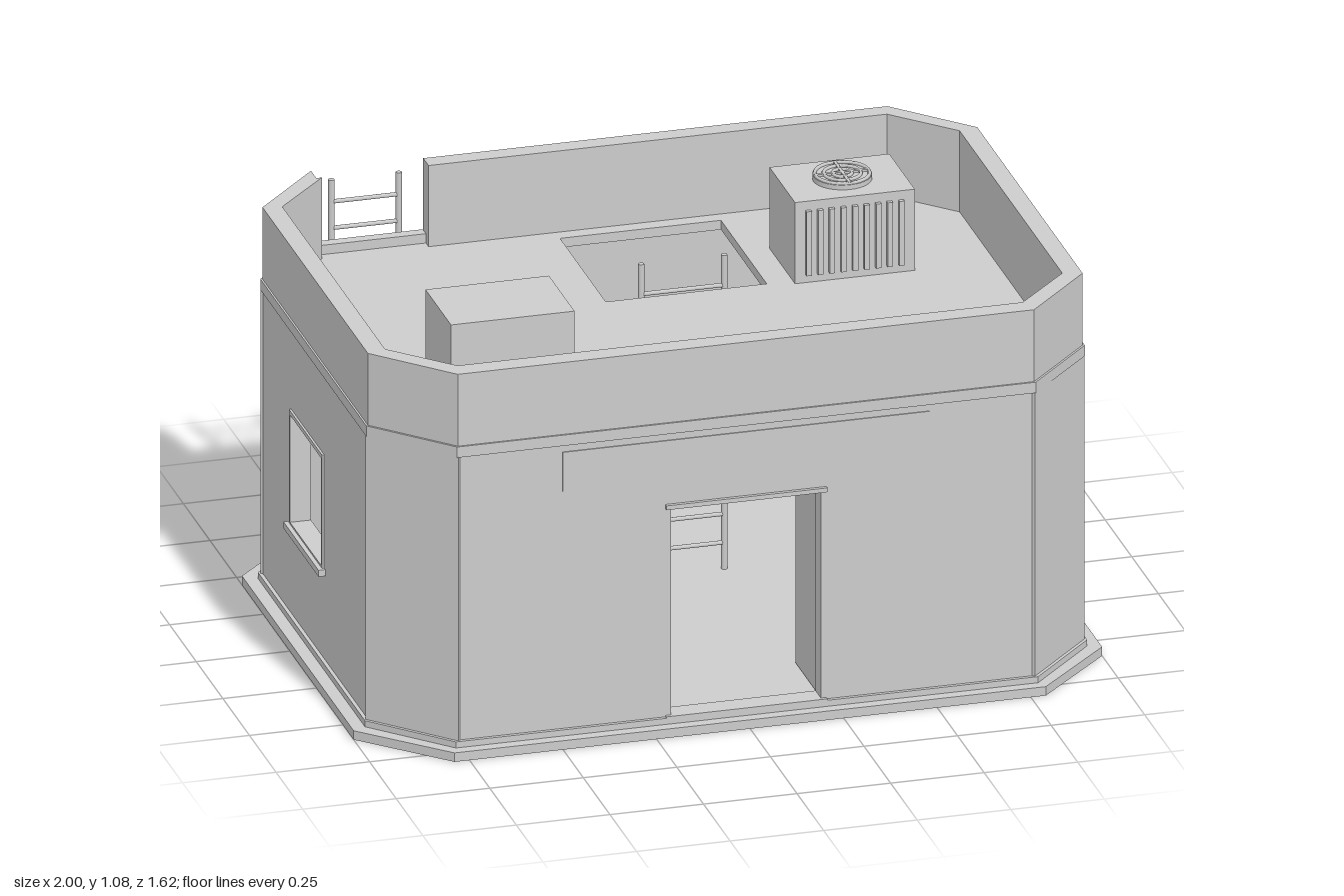
import * as THREE from 'three';

const grey = new THREE.MeshStandardMaterial({ color: 0xcccccc });
grey.name = 'plain grey';

function add(parent, name, geometry, x = 0, y = 0, z = 0) {
  const mesh = new THREE.Mesh(geometry, grey);
  mesh.name = name;
  mesh.position.set(x, y, z);
  parent.add(mesh);
  return mesh;
}

// Box given by its minimum and maximum corners
function box(parent, name, [x0, y0, z0], [x1, y1, z1]) {
  return add(parent, name, new THREE.BoxGeometry(x1 - x0, y1 - y0, z1 - z0),
    (x0 + x1) / 2, (y0 + y1) / 2, (z0 + z1) / 2);
}

function post(parent, name, r, x, z, y0, y1) {
  return add(parent, name, new THREE.CylinderGeometry(r, r, y1 - y0, 10), x, (y0 + y1) / 2, z);
}

// Horizontal rod along x
function rod(parent, name, r, x0, x1, y, z) {
  const g = new THREE.CylinderGeometry(r, r, x1 - x0, 8).rotateZ(Math.PI / 2);
  return add(parent, name, g, (x0 + x1) / 2, y, z);
}

// Rectangle as points, for outlines and holes
const rect = (x0, y0, x1, y1) =>
  [[x0, y0], [x1, y0], [x1, y1], [x0, y1]].map(p => new THREE.Vector2(...p));

function plate(outline, holes, depth) {
  const shape = new THREE.Shape(outline);
  holes.forEach(h => shape.holes.push(new THREE.Path(h)));
  return new THREE.ExtrudeGeometry(shape, { depth, bevelEnabled: false });
}

// Flat slab from a plan of [x, z] points
function slab(parent, name, plan, y0, y1, holes = []) {
  const flip = pts => pts.map(([x, z]) => new THREE.Vector2(x, -z));
  const g = plate(flip(plan), holes.map(flip), y1 - y0).rotateX(-Math.PI / 2);
  return add(parent, name, g, 0, y0, 0);
}

// Eight-sided plan: half width, front z, back z, corner cuts in x and z
const octagon = (w, f, b, cx, cz) => [
  [-w + cx, f], [w - cx, f], [w, f - cz], [w, b + cz],
  [w - cx, b], [-w + cx, b], [-w, b + cz], [-w, f - cz]];

// Wall panel between two plan points; local +z faces outward
function wall(parent, name, [px, pz], [qx, qz], holes = [], out = 0) {
  const g = new THREE.Group();
  g.name = name;
  g.position.set(px, 0, pz);
  g.rotation.y = Math.atan2(pz - qz, qx - px);
  const len = Math.hypot(qx - px, qz - pz);
  add(g, name + ' panel', plate(rect(-out, 0.04, len + out, 0.836), holes, 0.05 + out), 0, 0, -0.05);
  parent.add(g);
  return g;
}

function windowTrim(g, u0, u1) {
  add(g, 'window frame', plate(rect(u0 - 0.01, 0.29, u1 + 0.01, 0.612),
    [rect(u0, 0.3, u1, 0.6)], 0.056), 0, 0, -0.05);
  box(g, 'window sill', [u0 - 0.02, 0.277, -0.05], [u1 + 0.02, 0.295, 0.018]);
}

function ladder(parent, name, x0, x1, z, y0, y1, rungs) {
  const g = new THREE.Group();
  g.name = name;
  for (const x of [x0, x1]) post(g, 'ladder rail', 0.008, x, z, y0, y1);
  for (const y of rungs) rod(g, 'ladder rung', 0.006, x0, x1, y, z);
  parent.add(g);
  return g;
}

export function createModel() {
  const model = new THREE.Group();
  model.name = 'guardhouse';
  const plan = octagon(0.955, 0.77, -0.61, 0.185, 0.195);

  // Base and plinth
  slab(model, 'base', octagon(1, 0.81, -0.66, 0.21, 0.21), 0, 0.025);
  slab(model, 'plinth', octagon(0.965, 0.78, -0.62, 0.187, 0.197), 0.025, 0.042);

  // Walls with door and window openings
  const door = rect(0.57, 0.042, 0.97, 0.625);
  const rightHole = [0.285, 0.575], leftHole = [0.28, 0.57];
  const front = wall(model, 'front wall', plan[0], plan[1], [door]);
  const back = wall(model, 'back wall', plan[4], plan[5], [door]);
  const sideA = wall(model, 'left wall', plan[2], plan[3], [rect(rightHole[0], 0.3, rightHole[1], 0.6)]);
  const sideB = wall(model, 'right wall', plan[6], plan[7], [rect(leftHole[0], 0.3, leftHole[1], 0.6)]);
  for (const i of [1, 3, 5, 7]) wall(model, 'corner wall', plan[i], plan[(i + 1) % 8], [], 0.004);
  windowTrim(sideA, ...rightHole);
  windowTrim(sideB, ...leftHole);

  // Door trims and sign boards
  for (const g of [front, back]) {
    box(g, 'door lintel', [0.555, 0.624, -0.05], [0.985, 0.636, 0.01]);
    box(g, 'door threshold', [0.555, 0.036, -0.05], [0.985, 0.046, 0.01]);
    box(g, 'sign board', [0.28, 0.705, 0], [1.26, 0.815, 0.003]);
  }
  // Door leaves standing open inward
  for (const s of [-1, 1]) box(model, 'door leaf', [s * 0.206 - 0.005, 0.045, 0.53], [s * 0.206 + 0.005, 0.622, 0.73]);

  // Roof with hatch
  slab(model, 'roof', octagon(0.94, 0.755, -0.595, 0.185, 0.195), 0.812, 0.838,
    [[[-0.13, -0.52], [0.3, -0.52], [0.3, -0.09], [-0.13, -0.09]]]);

  // Trim band and parapet, which is open behind the outside ladder
  const inner = octagon(0.905, 0.715, -0.56, 0.15, 0.155);
  slab(model, 'trim band', octagon(0.96, 0.775, -0.615, 0.187, 0.197), 0.834, 0.864,
    [octagon(0.93, 0.74, -0.585, 0.175, 0.18)]);
  const order = [5, 6, 7, 0, 1, 2, 3, 4];
  slab(model, 'parapet', [
    ...order.map(i => plan[i]), [-0.47, -0.61], [-0.47, -0.56],
    ...order.map(i => inner[i]).reverse(), [-0.77, -0.56]], 0.834, 1.065);

  // Roof box
  box(model, 'roof box', [-0.7, 0.836, 0.22], [-0.37, 1.067, 0.46]);

  // Cooling unit with fins and a fan guard
  const unit = new THREE.Group();
  unit.name = 'cooling unit';
  model.add(unit);
  box(unit, 'unit body', [0.37, 0.836, -0.31], [0.69, 1.065, -0.07]);
  for (let i = 0; i < 9; i++) {
    const x = 0.405 + i * 0.031;
    for (const z of [-0.315, -0.065]) box(unit, 'unit fin', [x - 0.007, 0.86, z - 0.006], [x + 0.007, 1.04, z + 0.006]);
  }
  add(unit, 'fan rim', new THREE.CylinderGeometry(0.077, 0.077, 0.014, 32, 1, false), 0.53, 1.071, -0.19);
  for (const r of [0.071, 0.048, 0.025]) {
    add(unit, 'fan guard ring', new THREE.TorusGeometry(r, 0.005, 6, 32).rotateX(Math.PI / 2), 0.53, 1.08, -0.19);
  }
  box(unit, 'fan guard bar', [0.456, 1.076, -0.194], [0.604, 1.084, -0.186]);
  box(unit, 'fan guard bar', [0.526, 1.076, -0.264], [0.534, 1.084, -0.116]);

  // Inside ladder up to the hatch
  ladder(model, 'inside ladder', -0.027, 0.195, -0.12, 0.04, 0.92,
    Array.from({ length: 10 }, (_, i) => 0.115 + i * 0.08));

  // Outside ladder with wall brackets
  const outside = ladder(model, 'outside ladder', -0.7, -0.52, -0.665, 0.01, 1.01,
    Array.from({ length: 13 }, (_, i) => 0.06 + i * 0.074));
  for (const x of [-0.7, -0.52]) {
    for (const y of [0.08, 0.32, 0.56, 0.8]) box(outside, 'ladder bracket', [x - 0.005, y - 0.005, -0.665], [x + 0.005, y + 0.005, -0.605]);
  }

  // Canopy over the back door
  box(model, 'canopy', [-0.33, 0.667, -0.81], [0.33, 0.692, -0.605]);
  for (const x of [-0.315, 0.315]) post(model, 'canopy post', 0.009, x, -0.79, 0, 0.67);

  // Downpipe by the back corner
  post(model, 'downpipe', 0.009, 0.957, -0.503, 0.02, 0.85);

  // Slatted cabinet indoors
  box(model, 'cabinet', [-0.74, 0.04, 0.28], [-0.44, 0.36, 0.55]);
  for (let i = 0; i < 7; i++) box(model, 'cabinet slat', [-0.71, 0.08 + i * 0.037, 0.262], [-0.47, 0.095 + i * 0.037, 0.281]);

  return model;
}
